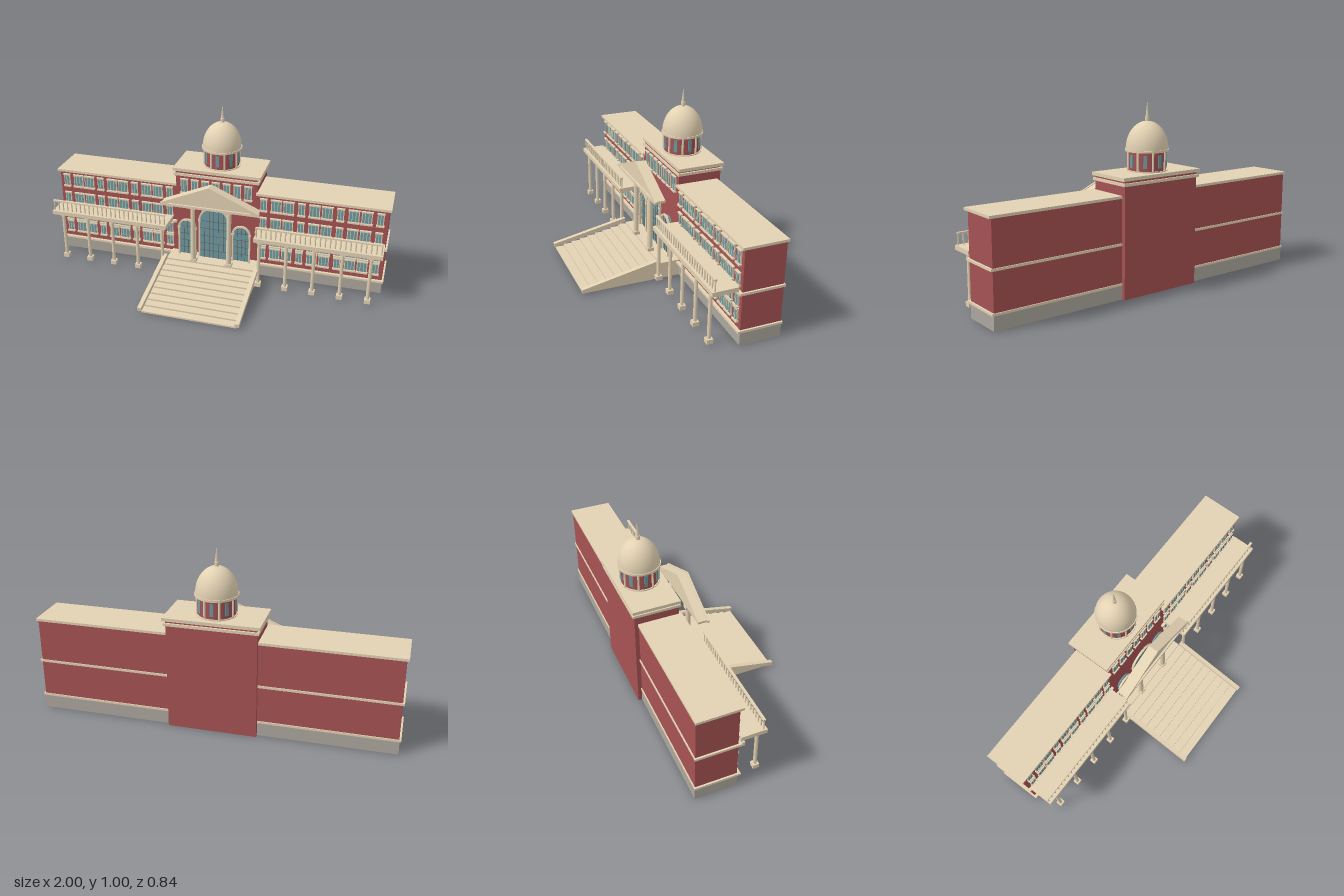
import * as THREE from 'three';

const mat = (name, color) => {
  const m = new THREE.MeshStandardMaterial({ color });
  m.name = name;
  return m;
};

export function createModel() {
  const brick = mat('brick', 0xa65253);
  const stone = mat('cream stone', 0xe3d2b3);
  const grey = mat('foundation grey', 0xaca69d);
  const glass = mat('glass', 0x6c9aa1);
  const bronze = mat('bronze glazing bars', 0x6a5650);

  const model = new THREE.Group();
  model.name = 'domedHall';

  const group = (name, parent = model) => {
    const g = new THREE.Group();
    g.name = name;
    parent.add(g);
    return g;
  };
  const add = (parent, name, geo, m) => {
    const mesh = new THREE.Mesh(geo, m);
    mesh.name = name;
    parent.add(mesh);
    return mesh;
  };
  // Box given by its limits on each axis, in either order
  const box = (parent, name, m, x0, x1, y0, y1, z0, z1) => {
    const geo = new THREE.BoxGeometry(Math.abs(x1 - x0), Math.abs(y1 - y0), Math.abs(z1 - z0));
    const mesh = add(parent, name, geo, m);
    mesh.position.set((x0 + x1) / 2, (y0 + y1) / 2, (z0 + z1) / 2);
    return mesh;
  };
  const cyl = (parent, name, m, x, y0, y1, z, r0, r1 = r0, sides = 16) => {
    const mesh = add(parent, name, new THREE.CylinderGeometry(r1, r0, y1 - y0, sides), m);
    mesh.position.set(x, (y0 + y1) / 2, z);
    return mesh;
  };
  const extrude = (shape, depth) =>
    new THREE.ExtrudeGeometry(shape, { depth, bevelEnabled: false, curveSegments: 20 });

  const WALL = -0.157; // front face of the walls

  // Framed sash window on the front wall
  const sashWindow = (parent, x, y0, y1, w, bars) => {
    const g = group('window', parent);
    const h = w / 2;
    box(g, 'windowFrame', stone, x - h, x + h, y0, y1, WALL, -0.149);
    box(g, 'windowPane', glass, x - h + 0.005, x + h - 0.005, y0 + 0.006, y1 - 0.006, -0.149, -0.147);
    for (let i = 1; i <= bars; i++) {
      const bx = x - h + (w * i) / (bars + 1);
      box(g, 'windowBar', stone, bx - 0.0015, bx + 0.0015, y0, y1, -0.149, -0.145);
    }
    box(g, 'windowSill', stone, x - h - 0.004, x + h + 0.004, y0 - 0.006, y0 + 0.003, WALL, -0.141);
    box(g, 'windowLintel', stone, x - h - 0.003, x + h + 0.003, y1 - 0.003, y1 + 0.004, WALL, -0.144);
  };

  // Wings, mirrored left and right
  const rows = [[0.125, 0.193], [0.208, 0.278], [0.325, 0.39], [0.437, 0.51]];
  for (const s of [1, -1]) {
    const wing = group(s > 0 ? 'leftWing' : 'rightWing');
    const span = (name, m, a, b, ...rest) => box(wing, name, m, s * a, s * b, ...rest);
    span('wingFoundation', grey, 0.2, 0.99, 0, 0.076, -0.384, -0.156);
    span('wingWall', brick, 0.2, 0.988, 0.076, 0.535, -0.382, WALL);
    span('baseBand', stone, 0.24, 0.998, 0.075, 0.087, -0.387, -0.14);
    span('middleBand', stone, 0.24, 0.998, 0.286, 0.299, -0.387, -0.14);
    span('roofCornice', stone, 0.24, 1, 0.531, 0.545, -0.387, -0.14);
    for (const [y0, y1] of rows) {
      for (let k = 0; k < 4; k++) {
        const x = 0.945 - 0.22 * k;
        sashWindow(wing, s * x, y0, y1, 0.038, 1);
        if (k < 3) {
          sashWindow(wing, s * (x - 0.075), y0, y1, 0.06, 2);
          sashWindow(wing, s * (x - 0.146), y0, y1, 0.06, 2);
        }
      }
    }
    // Balcony on slender posts
    const balcony = group('balcony', wing);
    box(balcony, 'balconyFloor', stone, s * 0.262, s * 0.985, 0.306, 0.33, -0.14, 0);
    box(balcony, 'balconyRail', stone, s * 0.27, s * 0.98, 0.387, 0.396, -0.025, -0.011);
    for (let i = 0; i <= 25; i++) {
      cyl(balcony, 'baluster', stone, s * (0.275 + 0.028 * i), 0.33, 0.388, -0.018, 0.004, 0.004, 8);
    }
    for (let i = 0; i < 5; i++) {
      const x = s * (0.293 + 0.158 * i);
      box(balcony, 'postBase', stone, x - 0.017, x + 0.017, 0.01, 0.035, -0.04, -0.006);
      cyl(balcony, 'post', stone, x, 0.035, 0.297, -0.023, 0.01);
      box(balcony, 'postCapital', stone, x - 0.013, x + 0.013, 0.295, 0.306, -0.036, -0.01);
    }
  }

  // Central block
  const centre = group('centralBlock');
  box(centre, 'centralWall', brick, -0.245, 0.245, 0, 0.625, -0.405, -0.156);
  box(centre, 'lowerCornice', stone, -0.255, 0.255, 0.595, 0.61, -0.415, -0.148);
  box(centre, 'upperCornice', stone, -0.262, 0.262, 0.622, 0.64, -0.417, -0.15);
  for (let i = -3; i <= 3; i++) sashWindow(centre, i * 0.064, 0.49, 0.575, 0.042, 1);

  // Tall arched windows of the entrance, standing as screens before the wall
  const archWindow = (x, r, spring, nx, ny, front) => {
    const g = group('archedWindow', centre);
    const y0 = 0.095;
    const pane = new THREE.Shape();
    pane.moveTo(-r, y0);
    pane.lineTo(r, y0);
    pane.absarc(0, spring, r, 0, Math.PI, false);
    add(g, 'archedPane', extrude(pane, 0.009), glass).position.set(x, 0, front - 0.009);
    // Cream hood over the arch
    const ring = new THREE.Shape();
    ring.absarc(0, spring, r + 0.008, 0, Math.PI, false);
    ring.absarc(0, spring, r - 0.002, Math.PI, 0, true);
    add(g, 'archHood', extrude(ring, 0.012), stone).position.set(x, 0, -0.12);
    for (const e of [-1, 1]) {
      const px = x + e * (r + 0.003);
      box(g, 'archJamb', stone, px - 0.005, px + 0.005, y0, spring, -0.12, -0.109);
      box(g, 'archImpost', stone, px - 0.008, px + 0.008, spring - 0.008, spring + 0.003, -0.121, -0.107);
    }
    for (let i = 1; i < nx; i++) {
      const d = -r + (2 * r * i) / nx;
      const top = spring + Math.sqrt(r * r - d * d);
      box(g, 'glazingBar', bronze, x + d - 0.001, x + d + 0.001, y0, top, front - 0.001, front + 0.002);
    }
    for (let j = 1; j <= ny; j++) {
      const y = y0 + ((spring - y0) * j) / ny;
      box(g, 'glazingBar', bronze, x - r, x + r, y - 0.001, y + 0.001, front - 0.001, front + 0.002);
    }
  };
  archWindow(0, 0.086, 0.34, 6, 5, -0.113);
  archWindow(-0.165, 0.048, 0.28, 4, 4, -0.126);
  archWindow(0.165, 0.048, 0.28, 4, 4, -0.126);

  // Portico: platform, two columns and pediment
  const portico = group('portico');
  box(portico, 'platform', stone, -0.272, 0.272, 0, 0.095, -0.157, -0.04);
  for (const x of [-0.108, 0.108]) {
    box(portico, 'columnBase', stone, x - 0.019, x + 0.019, 0.095, 0.115, -0.065, -0.027);
    cyl(portico, 'column', stone, x, 0.115, 0.45, -0.046, 0.015, 0.013, 20);
    box(portico, 'columnCapital', stone, x - 0.019, x + 0.019, 0.45, 0.472, -0.065, -0.027);
  }
  const gableShape = (w, base, apex) => {
    const shape = new THREE.Shape();
    shape.moveTo(-w, base);
    shape.lineTo(w, base);
    shape.lineTo(w, 0.483);
    shape.lineTo(0, apex);
    shape.lineTo(-w, 0.483);
    return shape;
  };
  add(portico, 'pediment', extrude(gableShape(0.285, 0.47, 0.607), 0.052), stone).position.z = -0.062;
  // Raised border round the pediment face
  const border = gableShape(0.292, 0.468, 0.611);
  const opening = new THREE.Path();
  opening.moveTo(-0.25, 0.482);
  opening.lineTo(0, 0.592);
  opening.lineTo(0.25, 0.482);
  border.holes.push(opening);
  add(portico, 'pedimentBorder', extrude(border, 0.012), stone).position.z = -0.011;

  // Grand stair with sloping side rails
  const stair = group('stair');
  const steps = 9;
  for (let i = 0; i < steps; i++) {
    const z = -0.04 + 0.05 * i;
    box(stair, 'step', stone, -0.272, 0.272, 0, 0.095 * (1 - (i + 1) / (steps + 1)), z, z + 0.05);
  }
  const slope = new THREE.Shape();
  slope.moveTo(-0.035, 0.1);
  slope.lineTo(0.415, 0.01);
  slope.lineTo(0.418, 0.033);
  slope.lineTo(-0.035, 0.125);
  for (const x of [-0.267, 0.291]) {
    const geo = extrude(slope, 0.024);
    geo.rotateY(-Math.PI / 2);
    add(stair, 'stairRail', geo, stone).position.x = x;
  }

  // Drum, dome and spire
  const tower = group('domeTower');
  tower.position.z = -0.283;
  cyl(tower, 'drum', brick, 0, 0.64, 0.748, 0, 0.102, 0.102, 40);
  cyl(tower, 'drumFoot', stone, 0, 0.64, 0.646, 0, 0.109, 0.109, 40);
  for (let i = 0; i < 8; i++) {
    const bay = group('drumBay', tower);
    bay.rotation.y = (i * Math.PI) / 4;
    box(bay, 'drumWindowPane', glass, -0.01, 0.01, 0.662, 0.73, 0.098, 0.1055);
    const pier = group('drumPier', bay);
    pier.rotation.y = Math.PI / 8;
    cyl(pier, 'drumColumn', stone, 0, 0.645, 0.745, 0.104, 0.006, 0.006, 10);
  }
  cyl(tower, 'domeRing', stone, 0, 0.744, 0.756, 0, 0.117, 0.117, 40);
  const domeProfile = [];
  for (let i = 0; i <= 16; i++) {
    const a = (i / 16) * (Math.PI / 2);
    domeProfile.push(new THREE.Vector2(0.113 * Math.cos(a), 0.755 + 0.147 * Math.sin(a)));
  }
  add(tower, 'dome', new THREE.LatheGeometry(domeProfile, 40), stone);
  cyl(tower, 'finial', stone, 0, 0.893, 0.924, 0, 0.012);
  cyl(tower, 'spire', stone, 0, 0.924, 1, 0, 0.009, 0.001, 12);

  return model;
}
